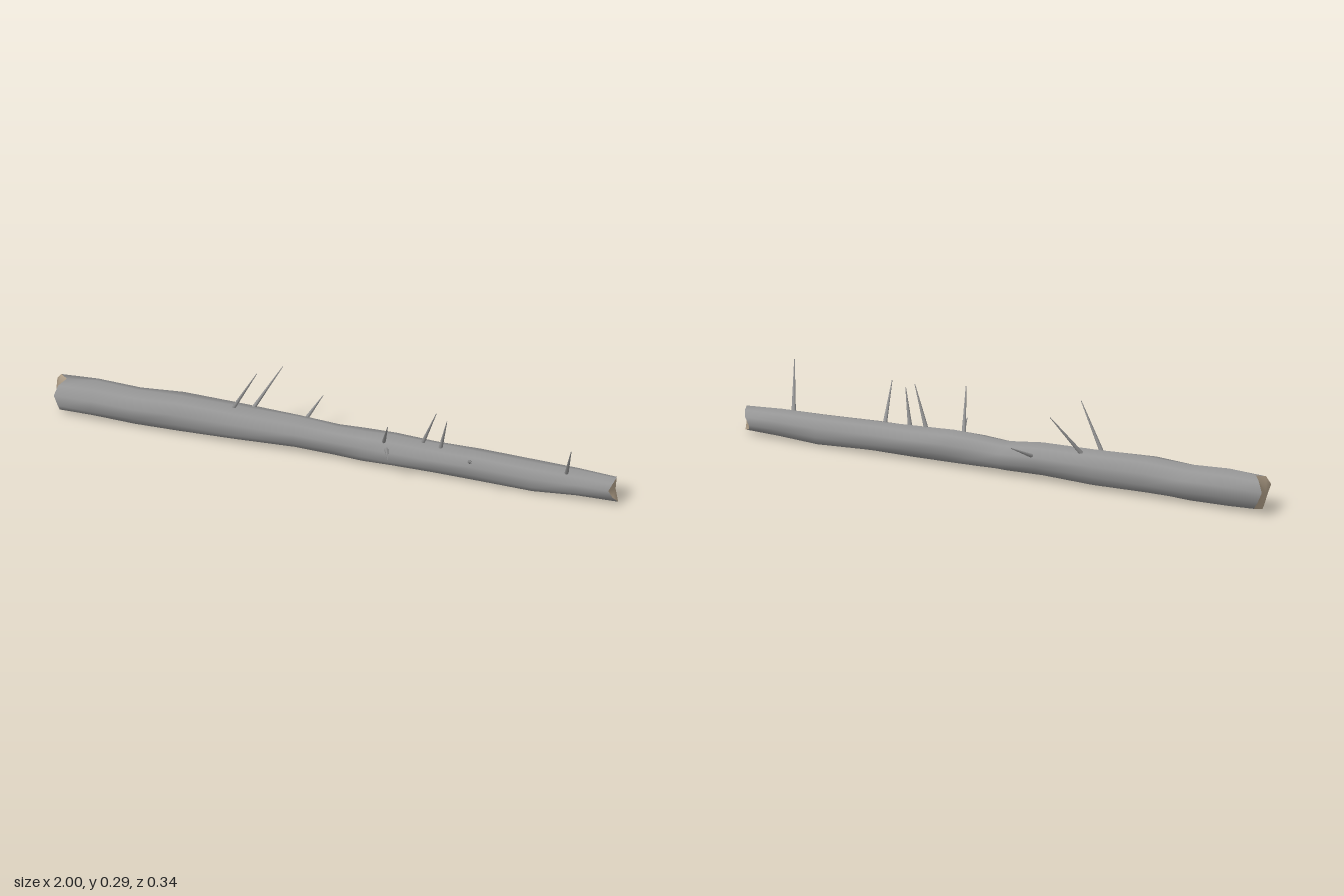
import * as THREE from 'three';

const SIDES = 10;

// trunk sections: x, centre y, centre z, radius
const SECTIONS = [
  [-0.98, 0.067, -0.028, 0.058], [-0.85, 0.069, -0.03, 0.064], [-0.7, 0.066, -0.028, 0.063],
  [-0.55, 0.071, -0.029, 0.064], [-0.35, 0.068, -0.03, 0.061], [-0.14, 0.069, -0.03, 0.056],
  [0, 0.062, -0.032, 0.052], [0.1, 0.063, -0.027, 0.054], [0.2, 0.064, -0.026, 0.056],
  [0.35, 0.061, -0.027, 0.054], [0.5, 0.059, -0.029, 0.053], [0.7, 0.052, -0.028, 0.052],
  [0.85, 0.055, -0.029, 0.047], [0.98, 0.054, -0.028, 0.042],
];

// x of each rim corner on the broken ends, starting on top and going round by the front
const RIGHT_RIM = [-0.95, -0.97, -0.98, -0.965, -0.965, -0.975, -0.96, -0.985, -1, -0.98];
const LEFT_RIM = [0.985, 0.98, 0.97, 0.985, 1, 0.99, 0.965, 0.955, 0.97, 0.98];

// thorns: base, then tip
const THORNS = [
  [-0.365, 0.118, -0.025, -0.275, 0.287, -0.008],
  [-0.3, 0.118, -0.055, -0.22, 0.252, -0.128],
  [-0.125, 0.088, -0.075, -0.09, 0.136, -0.166],
  [0.175, 0.105, 0.0, 0.22, 0.237, 0.103],
  [0.19, 0.088, 0.018, 0.225, 0.12, 0.12],
  [0.305, 0.112, -0.025, 0.36, 0.253, -0.002],
  [0.37, 0.11, -0.018, 0.4, 0.234, 0.008],
  [0.48, 0.088, 0.008, 0.535, 0.196, 0.168],
  [0.815, 0.094, -0.012, 0.86, 0.247, 0.08],
];

function ringPoint(i, j) {
  const [x, cy, cz, r] = SECTIONS[i];
  const a = (j / SIDES) * Math.PI * 2;
  const rr = r * (1 + 0.04 * Math.sin(j * 2.3 + i * 1.7)); // slightly uneven bark
  const px = i === 0 ? RIGHT_RIM[j] : i === SECTIONS.length - 1 ? LEFT_RIM[j] : x;
  return [px, cy + rr * Math.cos(a), cz + rr * Math.sin(a)];
}

function makeGeometry(positions, index) {
  const g = new THREE.BufferGeometry();
  g.setAttribute('position', new THREE.Float32BufferAttribute(positions, 3));
  g.setIndex(index);
  g.computeVertexNormals();
  return g;
}

function barkGeometry() {
  const positions = [], index = [];
  for (let i = 0; i < SECTIONS.length; i++) {
    for (let j = 0; j < SIDES; j++) positions.push(...ringPoint(i, j));
  }
  for (let i = 0; i < SECTIONS.length - 1; i++) {
    for (let j = 0; j < SIDES; j++) {
      const a = i * SIDES + j, b = i * SIDES + ((j + 1) % SIDES);
      index.push(a, b, a + SIDES, b, b + SIDES, a + SIDES);
    }
  }
  return makeGeometry(positions, index);
}

// jagged fan closing one end
function endGeometry(i, centreX) {
  const [, cy, cz] = SECTIONS[i];
  const positions = [centreX, cy, cz], index = [];
  for (let j = 0; j < SIDES; j++) {
    positions.push(...ringPoint(i, j));
    const a = 1 + j, b = 1 + ((j + 1) % SIDES);
    index.push(0, ...(i === 0 ? [b, a] : [a, b]));
  }
  return makeGeometry(positions, index);
}

function makeThorn(data, material) {
  const base = new THREE.Vector3(...data.slice(0, 3));
  const dir = new THREE.Vector3(...data.slice(3)).sub(base);
  const length = dir.length();
  const g = new THREE.CylinderGeometry(0.0012, 0.0075, length, 6);
  g.translate(0, length / 2, 0);
  const thorn = new THREE.Mesh(g, material);
  thorn.position.copy(base);
  thorn.quaternion.setFromUnitVectors(new THREE.Vector3(0, 1, 0), dir.normalize());
  return thorn;
}

export function createModel() {
  const group = new THREE.Group();
  group.name = 'thornyLog';
  const bark = new THREE.MeshStandardMaterial({ color: 0x959595 });
  const wood = new THREE.MeshStandardMaterial({ color: 0xbaa890 });

  // trunk and its broken ends
  const add = (name, geometry, material) => {
    const mesh = new THREE.Mesh(geometry, material);
    mesh.name = name;
    group.add(mesh);
  };
  add('bark', barkGeometry(), bark);
  add('rightBrokenEnd', endGeometry(0, -0.988), wood);
  add('leftBrokenEnd', endGeometry(SECTIONS.length - 1, 0.983), wood);

  // thorns along the upper side
  THORNS.forEach((data, i) => {
    const thorn = makeThorn(data, bark);
    thorn.name = `thorn${i + 1}`;
    group.add(thorn);
  });
  return group;
}
